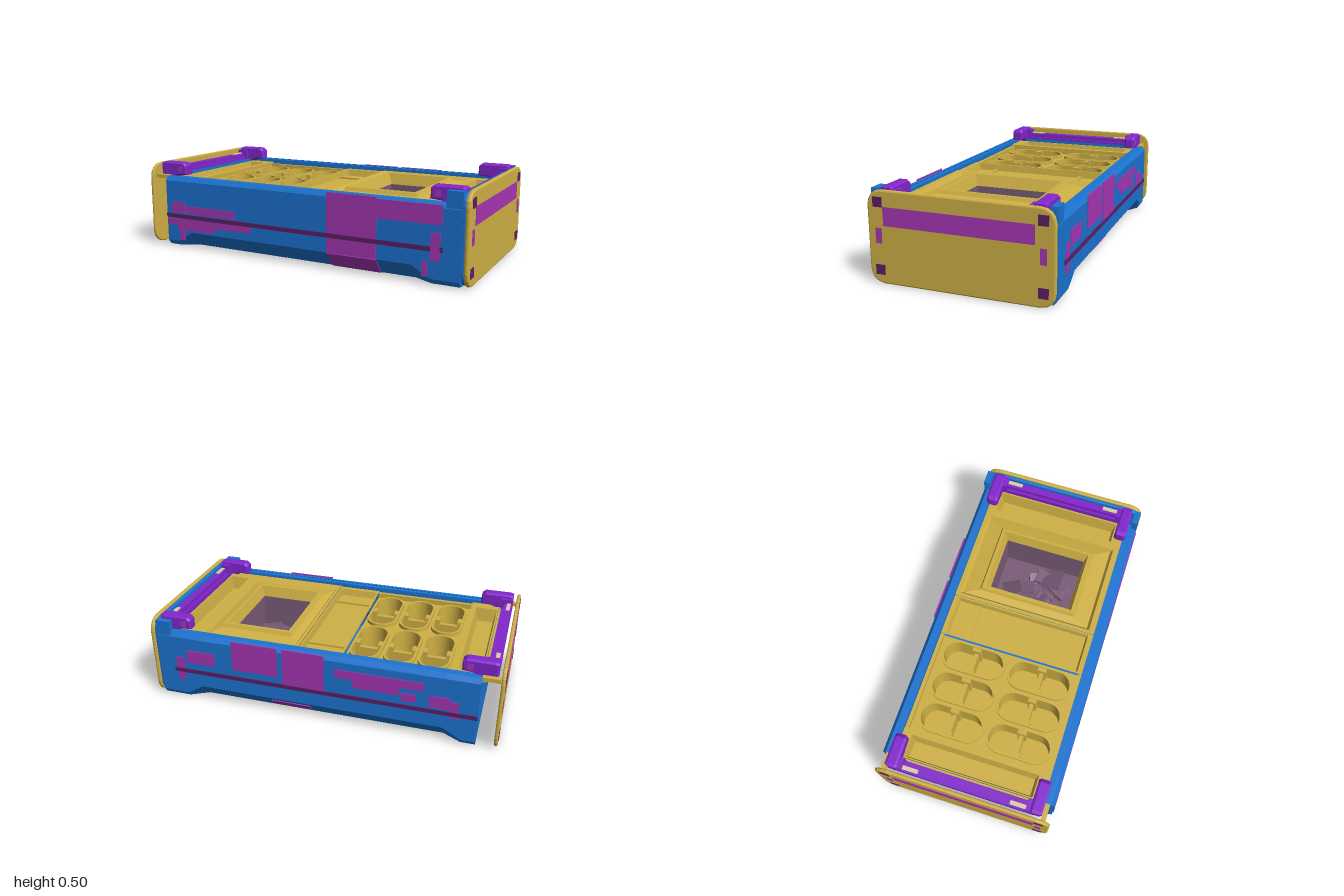
import * as THREE from 'three';

const mat = (color) => new THREE.MeshStandardMaterial({ color, flatShading: true, side: THREE.DoubleSide });
const YELLOW = mat(0xcfb045), BLUE = mat(0x1c74d2), VIOLET = mat(0x8226cc),
  PATCH = mat(0xa636b4), DARK = mat(0x5c1f66), MAUVE = mat(0x7a5c78), CREAM = mat(0xd8cfa8);

export function createModel() {
  const model = new THREE.Group();
  const add = (name, geometry, material, parent = model) => {
    const mesh = new THREE.Mesh(geometry, material);
    mesh.name = name;
    parent.add(mesh);
    return mesh;
  };
  // Box given by its two extremes on every axis
  const block = (name, x0, x1, y0, y1, z0, z1, material, parent) => {
    const mesh = add(name, new THREE.BoxGeometry(x1 - x0, y1 - y0, z1 - z0), material, parent);
    mesh.position.set((x0 + x1) / 2, (y0 + y1) / 2, (z0 + z1) / 2);
    return mesh;
  };
  // Skin over matching rings of points; caps close the first and last ring
  const loft = (rings, closed, capStart, capEnd) => {
    const n = rings[0].length, pos = [], idx = [];
    rings.forEach((r) => r.forEach((p) => pos.push(...p)));
    for (let i = 0; i < rings.length - 1; i++)
      for (let j = 0; j < (closed ? n : n - 1); j++) {
        const a = i * n + j, b = i * n + (j + 1) % n;
        idx.push(a, b, b + n, a, b + n, a + n);
      }
    const last = (rings.length - 1) * n;
    for (let j = 1; j < n - 1; j++) {
      if (capStart) idx.push(0, j + 1, j);
      if (capEnd) idx.push(last, last + j, last + j + 1);
    }
    const g = new THREE.BufferGeometry();
    g.setAttribute('position', new THREE.Float32BufferAttribute(pos, 3));
    g.setIndex(idx);
    const flat = g.toNonIndexed();
    flat.computeVertexNormals();
    return flat;
  };
  // Stepped rectangular surface: each level is [x0, x1, z0, z1, y]
  const steps = (levels, floor = true) => loft(levels.map(([x0, x1, z0, z1, y]) =>
    [[x0, y, z1], [x1, y, z1], [x1, y, z0], [x0, y, z0]]), true, false, floor);

  // Blue tub: chamfered along the middle, full-width feet at the ends
  const section = (x, b, c) => {
    const half = [[0.455, 0.43], [0.475, 0.43], [0.495, 0.405], [0.495, b], [c, 0.012]];
    return [...half.map(([z, y]) => [x, y, z]), ...half.reverse().map(([z, y]) => [x, y, -z])];
  };
  add('tub', loft([section(-0.88, 0.04, 0.475), section(-0.8, 0.04, 0.475), section(-0.7, 0.1, 0.42),
    section(0.7, 0.1, 0.42), section(0.8, 0.04, 0.475), section(0.955, 0.04, 0.475)], false, true, true), BLUE);
  for (const s of [-1, 1])
    block('tubInnerWall', -0.88, 0.9, 0.35, 0.428, s * 0.442 - 0.013, s * 0.442 + 0.013, BLUE);

  // End plates with rounded corners, extruded along x
  const endPlate = (name, x0, x1, hw, y0, y1, r, material) => {
    const s = new THREE.Shape();
    s.moveTo(-hw + r, y0).lineTo(hw - r, y0).quadraticCurveTo(hw - 0.005, y0 + 0.005, hw, y0 + r);
    s.lineTo(hw, y1 - r).quadraticCurveTo(hw - 0.005, y1 - 0.005, hw - r, y1);
    s.lineTo(-hw + r, y1).quadraticCurveTo(-hw + 0.005, y1 - 0.005, -hw, y1 - r);
    s.lineTo(-hw, y0 + r).quadraticCurveTo(-hw + 0.005, y0 + 0.005, -hw + r, y0);
    const t = x1 - x0, e = t * 0.35;
    const g = new THREE.ExtrudeGeometry(s, { depth: t - 2 * e, bevelThickness: e, bevelSize: e, bevelOffset: -e, bevelSegments: 2, curveSegments: 4 });
    g.rotateY(Math.PI / 2).translate(x0 + e, 0, 0);
    add(name, g, material);
  };
  endPlate('rightEndPlate', 0.972, 0.997, 0.498, 0.005, 0.498, 0.08, YELLOW);
  endPlate('leftEndPlate', -0.997, -0.977, 0.498, 0.005, 0.498, 0.08, YELLOW);
  endPlate('endFrame', 0.952, 0.976, 0.49, 0.012, 0.49, 0.07, BLUE);
  for (const s of [-1, 1]) {
    block('cornerPost', 0.875, 0.96, 0.04, 0.495, s * 0.475 - 0.018, s * 0.475 + 0.018, BLUE);
    block('hingePin', -0.975, -0.88, 0.41, 0.432, s * 0.455 - 0.014, s * 0.455 + 0.014, YELLOW);
  }

  // Tray: slotted strips at both ends
  for (const [x0, x1] of [[-0.9, -0.715], [0.73, 0.915]])
    add('slottedStrip', steps([[x0, x1, -0.43, 0.43, 0.38], [x0, x1, -0.43, 0.43, 0.41],
      [x0 + 0.03, x1 - 0.03, -0.375, 0.365, 0.41], [x0 + 0.045, x1 - 0.045, -0.36, 0.35, 0.33]]), YELLOW);

  // Tray: cup panel with six oblong cups
  const oblong = (P, cx, cz, r, h) => {
    const s = new P();
    s.moveTo(cx + r, -cz - h);
    s.lineTo(cx + r, -cz + h).absarc(cx, -cz + h, r, 0, Math.PI, false);
    s.lineTo(cx - r, -cz - h).absarc(cx, -cz - h, r, Math.PI, 2 * Math.PI, false);
    return s;
  };
  const upright = (shape, y0, y1) => new THREE.ExtrudeGeometry(shape, { depth: y1 - y0, bevelEnabled: false, curveSegments: 8 })
    .rotateX(-Math.PI / 2).translate(0, y0, 0);
  const panel = new THREE.Shape();
  panel.moveTo(-0.715, -0.43).lineTo(-0.12, -0.43).lineTo(-0.12, 0.43).lineTo(-0.715, 0.43);
  const cups = new THREE.Group();
  cups.name = 'cups';
  model.add(cups);
  for (const cx of [-0.605, -0.412, -0.218]) for (const cz of [-0.195, 0.205]) {
    panel.holes.push(oblong(THREE.Path, cx, cz, 0.085, 0.1));
    const wall = oblong(THREE.Shape, cx, cz, 0.09, 0.1);
    wall.holes.push(oblong(THREE.Path, cx, cz, 0.077, 0.1));
    add('cupWall', upright(wall, 0.22, 0.39), YELLOW, cups);
    block('cupDivider', cx - 0.08, cx + 0.08, 0.22, 0.35, cz - 0.012, cz + 0.012, YELLOW, cups);
    for (const s of [-1, 1])
      block('cupRib', cx + s * 0.068 - 0.015, cx + s * 0.068 + 0.015, 0.22, 0.385, cz - 0.025, cz + 0.025, YELLOW, cups);
  }
  add('cupPanel', upright(panel, 0.35, 0.37), YELLOW);
  block('cupFloor', -0.715, -0.12, 0.2, 0.225, -0.42, 0.42, YELLOW);
  for (const s of [-1, 1])
    block('cupPanelLip', -0.715, -0.12, 0.36, 0.4, s * 0.42 - 0.012, s * 0.42 + 0.012, YELLOW);

  // Tray: flat middle bay
  add('middleBay', steps([[-0.12, 0.135, -0.43, 0.43, 0.405], [-0.11, 0.125, -0.4, 0.4, 0.405],
    [-0.105, 0.12, -0.39, 0.39, 0.365]]), YELLOW);
  for (const z of [-0.27, 0.28]) block('bayRidge', -0.105, 0.12, 0.36, 0.375, z - 0.01, z + 0.01, YELLOW);

  // Tray: framed square bin with loose scrap inside
  add('binFrame', steps([[0.135, 0.73, -0.43, 0.43, 0.41], [0.155, 0.71, -0.405, 0.395, 0.41],
    [0.17, 0.7, -0.39, 0.38, 0.39], [0.21, 0.645, -0.3, 0.29, 0.405], [0.22, 0.635, -0.29, 0.28, 0.425],
    [0.24, 0.62, -0.27, 0.26, 0.425], [0.265, 0.6, -0.25, 0.24, 0.36]], false), YELLOW);
  add('binWell', steps([[0.265, 0.6, -0.25, 0.24, 0.36], [0.265, 0.6, -0.25, 0.24, 0.13]]), MAUVE);
  let seed = 7;
  const rnd = () => (seed = (seed * 16807) % 2147483647) / 2147483647;
  for (let i = 0; i < 14; i++) {
    const piece = add('scrap', new THREE.BoxGeometry(0.07 + rnd() * 0.07, 0.03, 0.06 + rnd() * 0.06), MAUVE);
    piece.position.set(0.34 + rnd() * 0.18, 0.16 + rnd() * 0.05, -0.17 + rnd() * 0.33);
    piece.rotation.set(rnd() - 0.5, rnd() * 3, rnd() - 0.5);
  }

  // Violet handles: a cross bar between two hooded clasps
  for (const side of [-1, 1]) {
    const handle = new THREE.Group();
    handle.name = side < 0 ? 'rightHandle' : 'leftHandle';
    model.add(handle);
    const put = (name, x0, x1, y0, y1, z0, z1, m) =>
      block(name, Math.min(side * x0, side * x1), Math.max(side * x0, side * x1), y0, y1, z0, z1, m, handle);
    put('handleBar', 0.91, 0.958, 0.415, 0.465, -0.4, 0.4, VIOLET);
    put('handleLip', 0.895, 0.915, 0.41, 0.44, -0.38, 0.38, VIOLET);
    const clasp = new THREE.Shape([[0.958, 0.43], [0.958, 0.5], [0.94, 0.507], [0.79, 0.507], [0.77, 0.49],
      [0.77, 0.435], [0.83, 0.43], [0.85, 0.42], [0.94, 0.42]].map(([x, y]) => new THREE.Vector2(side * x, y)));
    for (const s of [-1, 1]) {
      const g = new THREE.ExtrudeGeometry(clasp, { depth: 0.044, bevelThickness: 0.012, bevelSize: 0.008, bevelOffset: -0.008, bevelSegments: 1 });
      add('clasp', g.translate(0, 0, s * 0.408 - 0.022), VIOLET, handle);
      put('claspCorner', 0.89, 0.955, 0.42, 0.49, s * 0.37 - 0.02, s * 0.37 + 0.02, VIOLET);
      put('claspPatch', 0.795, 0.83, 0.45, 0.485, s * 0.441 - 0.003, s * 0.441 + 0.003, PATCH);
      put('barInsert', 0.925, 0.948, 0.46, 0.47, s * 0.31 - 0.05, s * 0.31 + 0.05, CREAM);
    }
  }

  // Front and back patches: [x0, x1, y0, y1]
  const patches = (name, z, list) => list.forEach(([x0, x1, y0, y1], i) =>
    block(name, x0, x1, y0, y1, z - 0.003, z + 0.003 + i * 0.0002, PATCH));
  patches('frontPatch', 0.496, [[0.215, 0.505, 0.1, 0.43], [0.505, 0.86, 0.32, 0.42], [-0.73, -0.385, 0.215, 0.26],
    [-0.8, -0.28, 0.145, 0.185], [-0.8, -0.53, 0.112, 0.145], [-0.84, -0.74, 0.215, 0.28],
    [-0.87, -0.8, 0.14, 0.18], [0.8, 0.85, 0.135, 0.28], [-0.785, -0.75, 0.05, 0.125], [0.755, 0.785, 0.05, 0.13]]);
  patches('backPatch', -0.496, [[0.61, 0.78, 0.25, 0.33], [0.23, 0.5, 0.25, 0.43], [-0.04, 0.2, 0.19, 0.43],
    [-0.59, -0.1, 0.31, 0.36], [-0.46, -0.2, 0.26, 0.31], [-0.55, -0.47, 0.23, 0.28],
    [-0.73, -0.62, 0.22, 0.29], [-0.78, -0.73, 0.17, 0.27], [0.8, 0.85, 0.135, 0.28]]);
  for (const s of [-1, 1]) block('sideStripe', -0.88, 0.865, 0.183, 0.207, s * 0.497 - 0.003, s * 0.497 + 0.003, DARK);
  // Patches folded onto the lower chamfer
  for (const [s, x0, x1] of [[1, 0.215, 0.505], [-1, 0.05, 0.28]]) {
    const fold = block('chamferPatch', x0, x1, 0, s > 0 ? 0.115 : 0.06, -0.003, 0.003, PATCH);
    fold.position.set((x0 + x1) / 2, 0.055, s * 0.459);
    fold.rotation.x = s * Math.atan2(0.075, 0.088);
  }
  // Strips under the base
  for (const x of [-0.8, -0.62, 0.66, 0.82]) block('baseStrip', x - 0.03, x + 0.03, 0.006, 0.014, -0.37, 0.37, PATCH);

  // End plate patches
  for (const e of [-1, 1]) {
    const face = (y0, y1, z0, z1, m) => block('endPatch', e * 0.997 - 0.003, e * 0.997 + 0.003, y0, y1, z0, z1, m);
    face(0.315, 0.413, -0.395, 0.408, PATCH);
    for (const s of [-1, 1]) {
      const c = s * 0.437;
      face(0.41, 0.462, c - 0.026, c + 0.026, DARK);
      face(0.055, 0.108, c - 0.026, c + 0.026, DARK);
      face(0.222, 0.302, c - 0.017, c + 0.017, PATCH);
    }
  }
  return model;
}
